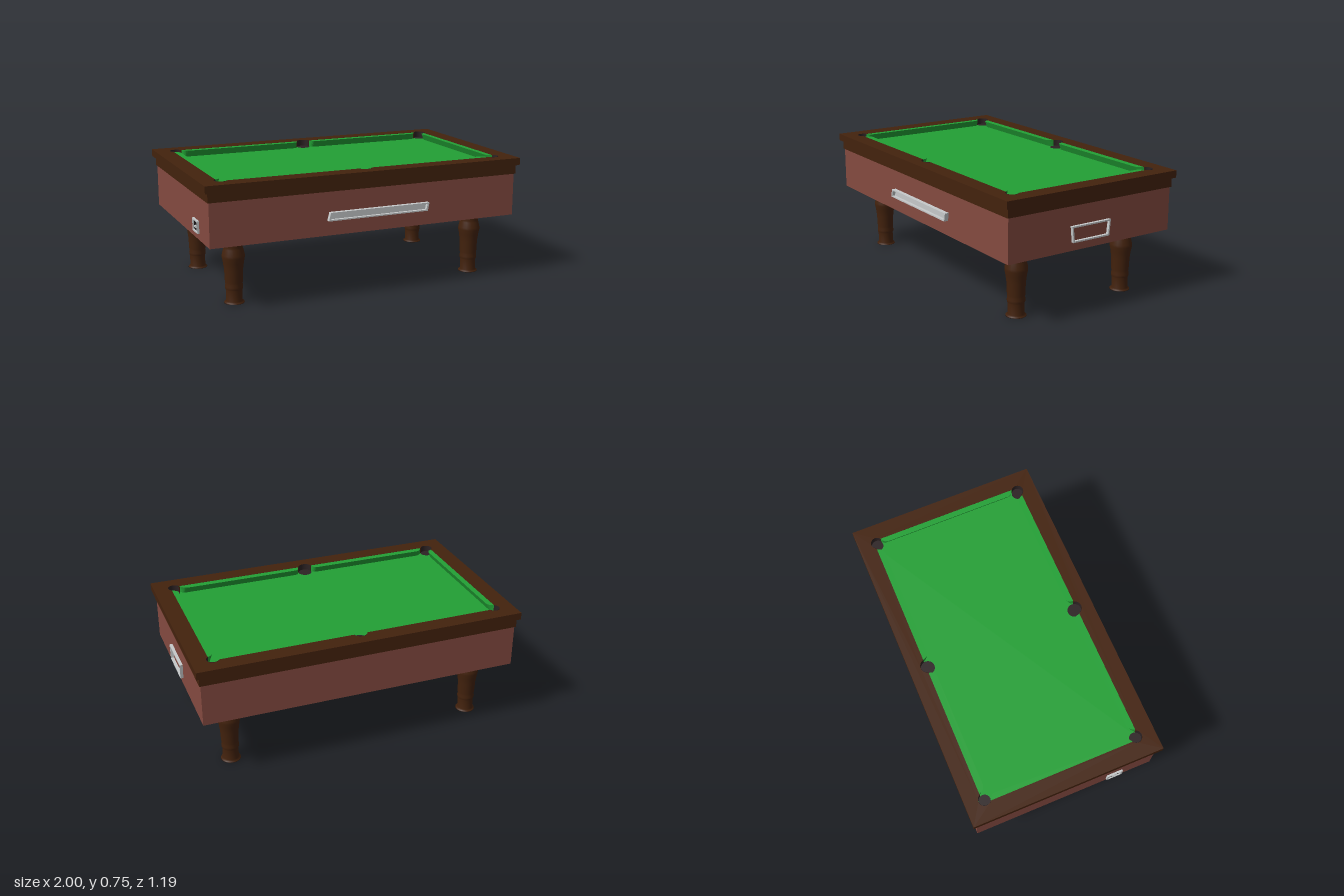
import * as THREE from 'three';

export function createModel() {
  const table = new THREE.Group();
  table.name = 'poolTable';

  const mat = (name, color, side = THREE.FrontSide) => {
    const m = new THREE.MeshStandardMaterial({ color, side });
    m.name = name;
    return m;
  };
  const wood = mat('darkWood', 0x43220d);
  const panel = mat('redBrownPanel', 0x844a40);
  const cloth = mat('greenCloth', 0x22a035);
  const pocketMat = mat('pocketBlack', 0x2c2223, THREE.DoubleSide);
  const metal = mat('paleMetal', 0xc6c9ca);
  const black = mat('underside', 0x181313);

  const add = (name, geo, material, x = 0, y = 0, z = 0, parent = table) => {
    const mesh = new THREE.Mesh(geo, material);
    mesh.name = name;
    mesh.position.set(x, y, z);
    parent.add(mesh);
    return mesh;
  };
  const poly = pts => new THREE.Shape(pts.map(p => new THREE.Vector2(...p)));
  const extrude = (shape, depth) =>
    new THREE.ExtrudeGeometry(shape, { depth, bevelEnabled: false, curveSegments: 16 });
  // Trapezoid frame with an open middle
  const frame = (outer, inner, depth) => {
    const s = poly(outer);
    s.holes.push(poly(inner));
    return extrude(s, depth);
  };

  // Cabinet and apron
  add('cabinet', new THREE.BoxGeometry(1.95, 0.26, 1.136),
    [panel, panel, panel, black, panel, panel], 0, 0.52, 0);
  add('apron', new THREE.BoxGeometry(1.964, 0.057, 1.15), wood, 0, 0.6785, 0);

  // Top rail, cut out around the playing field and the six pockets
  const PI = Math.PI;
  const cr = 0.037, mr = 0.043;
  const pockets = [
    [0.875, 0.475, cr, -1.0, 2.72],
    [0, 0.48, mr, 0.235, 2.907],
    [-0.875, 0.475, cr, PI - 2.72, PI + 1.0],
    [-0.875, -0.475, cr, PI - 1.0, PI + 2.72],
    [0, -0.48, mr, PI + 0.235, PI + 2.907],
    [0.875, -0.475, cr, -2.72, 1.0],
  ];
  const railShape = poly([[-1, -0.592], [1, -0.592], [1, 0.592], [-1, 0.592]]);
  const opening = new THREE.Path();
  for (const [x, y, r, a, b] of pockets) opening.absarc(x, y, r, a, b, false);
  opening.closePath();
  railShape.holes.push(opening);
  add('topRail', extrude(railShape, 0.044).rotateX(-PI / 2), wood, 0, 0.706, 0);

  // Playing bed
  add('bed', new THREE.BoxGeometry(1.82, 0.006, 1.02), cloth, 0, 0.706, 0);

  // Pockets: a floor disc and a liner on the rail side
  for (const [x, y, r, a, b] of pockets) {
    const pocket = new THREE.Group();
    pocket.name = 'pocket';
    pocket.position.set(x, 0, -y);
    table.add(pocket);
    add('pocketFloor', new THREE.CircleGeometry(r - 0.001, 24).rotateX(-PI / 2),
      pocketMat, 0, 0.712, 0, pocket);
    add('pocketLiner',
      new THREE.CylinderGeometry(r - 0.001, r - 0.001, 0.042, 20, 1, true, a + PI / 2, b - a),
      pocketMat, 0, 0.73, 0, pocket);
  }

  // Cushions: nose edge at y = 0 of the plan, undercut towards the bed
  const cushion = (length, width, cutA, cutB) => {
    const h = length / 2;
    const s = new THREE.Shape();
    s.moveTo(-h, width);
    s.quadraticCurveTo(-h + cutA * 0.3, 0, -h + cutA, 0);
    s.lineTo(h - cutB, 0);
    s.quadraticCurveTo(h - cutB * 0.3, 0, h, width);
    s.closePath();
    const geo = extrude(s, 0.041);
    const p = geo.attributes.position;
    for (let i = 0; i < p.count; i++) {
      if (p.getZ(i) < 0.001) p.setY(i, p.getY(i) + (1 - p.getY(i) / width) * 0.018);
    }
    geo.computeVertexNormals();
    return geo.rotateX(-PI / 2);
  };
  const longGeo = [cushion(0.79, 0.04, 0.03, 0.05), cushion(0.79, 0.04, 0.05, 0.03)];
  const endGeo = cushion(0.886, 0.035, 0.04, 0.04);
  for (const s of [-1, 1]) {
    // far side
    add('longCushion', longGeo[s < 0 ? 1 : 0], cloth, s * 0.44, 0.7085, -0.45);
    // near side
    add('longCushion', longGeo[s < 0 ? 0 : 1], cloth, s * 0.44, 0.7085, 0.45).rotation.y = PI;
    add('endCushion', endGeo, cloth, s * 0.86, 0.7085, 0).rotation.y = -s * PI / 2;
  }

  // Turned legs
  const legProfile = [
    [0, 0], [0.06, 0], [0.059, 0.005], [0.048, 0.012], [0.048, 0.08], [0.052, 0.085],
    [0.053, 0.1], [0.05, 0.115], [0.052, 0.125], [0.055, 0.2], [0.061, 0.245], [0.067, 0.275],
    [0.066, 0.29], [0.058, 0.325], [0.055, 0.335], [0.057, 0.345], [0.055, 0.355], [0.055, 0.395],
  ].map(p => new THREE.Vector2(...p));
  const legGeo = new THREE.LatheGeometry(legProfile, 24);
  for (const x of [-0.782, 0.782])
    for (const z of [-0.38, 0.38]) add('leg', legGeo, wood, x, 0, z);

  // Ball tray on the front
  const tray = new THREE.Group();
  tray.name = 'ballTray';
  table.add(tray);
  add('trayFrame', frame(
    [[-0.275, 0.48], [0.365, 0.48], [0.375, 0.53], [-0.262, 0.53]],
    [[-0.26, 0.488], [0.355, 0.488], [0.362, 0.522], [-0.252, 0.522]], 0.027),
  metal, 0, 0, 0.567, tray);
  add('trayBack', new THREE.BoxGeometry(0.625, 0.04, 0.008), metal, 0.051, 0.505, 0.571, tray);

  // Ball return frame on the left end
  add('returnFrame', frame(
    [[-0.145, 0.44], [0.107, 0.44], [0.116, 0.535], [-0.155, 0.535]],
    [[-0.137, 0.449], [0.099, 0.449], [0.107, 0.526], [-0.146, 0.526]], 0.02)
    .rotateY(PI / 2), metal, 0.973, 0, 0);

  // Coin slot on the right end
  const coin = new THREE.Group();
  coin.name = 'coinSlot';
  coin.position.set(-0.973, 0.465, 0.32);
  coin.rotation.y = -PI / 2;
  table.add(coin);
  add('coinFrame', frame(
    [[-0.05, -0.037], [0.05, -0.037], [0.05, 0.037], [-0.05, 0.037]],
    [[-0.04, -0.028], [0.04, -0.028], [0.04, 0.028], [-0.04, 0.028]], 0.014),
  metal, 0, 0, 0, coin);
  add('coinPlate', new THREE.BoxGeometry(0.082, 0.058, 0.008), black, 0, 0, 0.002, coin);
  add('coinPush', new THREE.BoxGeometry(0.03, 0.012, 0.014), metal, 0, -0.005, 0.007, coin);

  return table;
}
